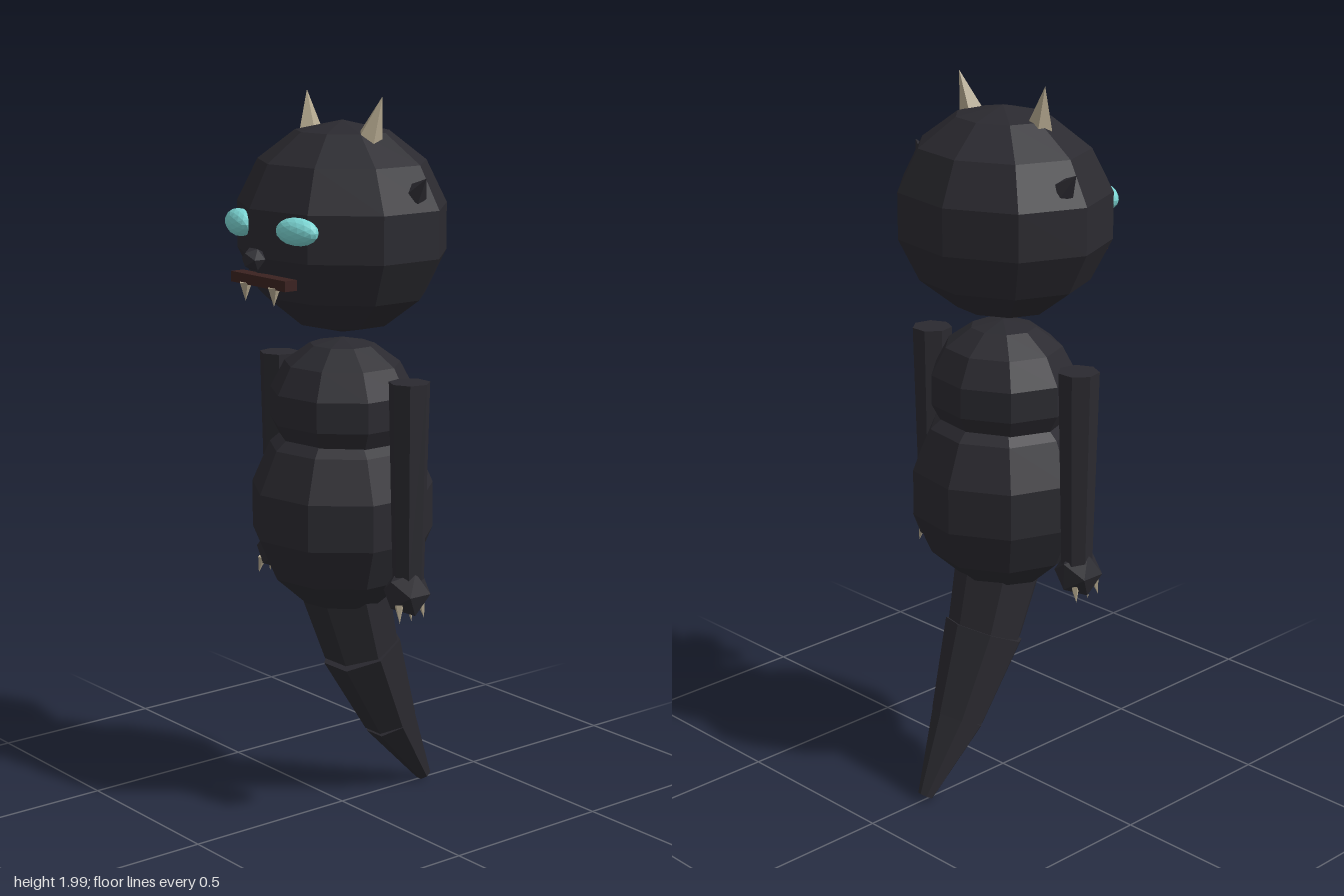
import * as THREE from 'three';

const flat = (name, color) => {
  const m = new THREE.MeshStandardMaterial({ color, flatShading: true });
  m.name = name;
  return m;
};

export function createModel() {
  const fur = flat('charcoal fur', 0x2b2a30);
  const bone = flat('bone', 0xb3a78e);
  const glow = flat('cyan eye', 0x7bd5d3);
  const maw = flat('dark red mouth', 0x3b2220);

  const model = new THREE.Group();
  model.name = 'creature';

  const add = (name, geometry, material, pos, scale = [1, 1, 1]) => {
    const mesh = new THREE.Mesh(geometry, material);
    mesh.name = name;
    mesh.position.set(...pos);
    mesh.scale.set(...scale);
    model.add(mesh);
    return mesh;
  };

  // Tapered prism running from one point to another
  const limb = (name, material, from, to, r0, r1, sides) => {
    const a = new THREE.Vector3(...from), b = new THREE.Vector3(...to);
    const dir = b.clone().sub(a);
    const mesh = add(name, new THREE.CylinderGeometry(r1, r0, dir.length(), sides), material,
      a.clone().add(b).multiplyScalar(0.5).toArray());
    mesh.quaternion.setFromUnitVectors(new THREE.Vector3(0, 1, 0), dir.normalize());
    return mesh;
  };

  // Head, chest and belly share one coarse ball
  const ball = new THREE.SphereGeometry(1, 9, 7);
  add('head', ball, fur, [0, 1.645, 0], [0.315, 0.285, 0.28]);
  add('chest', ball, fur, [0, 1.16, 0], [0.212, 0.187, 0.2]);
  add('belly', ball, fur, [0, 0.87, 0], [0.262, 0.288, 0.258]);

  // Face
  add('nose', new THREE.IcosahedronGeometry(0.033, 0), fur, [0, 1.585, 0.295]);
  add('mouth', new THREE.BoxGeometry(0.235, 0.028, 0.04), maw, [0, 1.525, 0.263]);

  const eyeGeo = new THREE.IcosahedronGeometry(1, 2);
  const handGeo = new THREE.IcosahedronGeometry(1, 0);
  for (const s of [1, -1]) {
    const side = s > 0 ? 'left' : 'right';
    const eye = add(side + 'Eye', eyeGeo, glow, [s * 0.125, 1.665, 0.248], [0.066, 0.037, 0.033]);
    eye.rotation.y = s * 0.25;
    limb(side + 'Fang', bone, [s * 0.062, 1.515, 0.277], [s * 0.062, 1.465, 0.277], 0.018, 0, 5);

    // Horns and small cheek spikes
    limb(side + 'Horn', bone, [s * 0.122, 1.875, 0.012], [s * 0.16, 2, -0.006], 0.04, 0, 5);
    limb(side + 'Spike', fur, [s * 0.258, 1.752, -0.036], [s * 0.302, 1.797, -0.036], 0.033, 0, 5);

    // Arm, hand and claws
    limb(side + 'Arm', fur, [s * 0.283, 0.72, 0], [s * 0.283, 1.265, 0], 0.043, 0.056, 7);
    add(side + 'Hand', handGeo, fur, [s * 0.285, 0.695, 0.006], [0.066, 0.07, 0.066]);
    for (const z of [-0.03, 0.015, 0.055]) {
      limb(side + 'Claw', bone, [s * 0.304, 0.67, z * 0.9], [s * 0.314, 0.622, z], 0.013, 0, 5);
    }
  }

  // Tail: three tapered segments curving backwards
  const tail = [
    [[0, 0.68, 0], [0, 0.455, -0.068], 0.128, 0.107],
    [[0, 0.455, -0.07], [0, 0.222, -0.175], 0.115, 0.077],
    [[0, 0.222, -0.175], [0, 0.019, -0.303], 0.077, 0.022],
  ];
  tail.forEach(([a, b, r0, r1], i) => limb('tailSegment' + (i + 1), fur, a, b, r0, r1, 7));

  return model;
}
